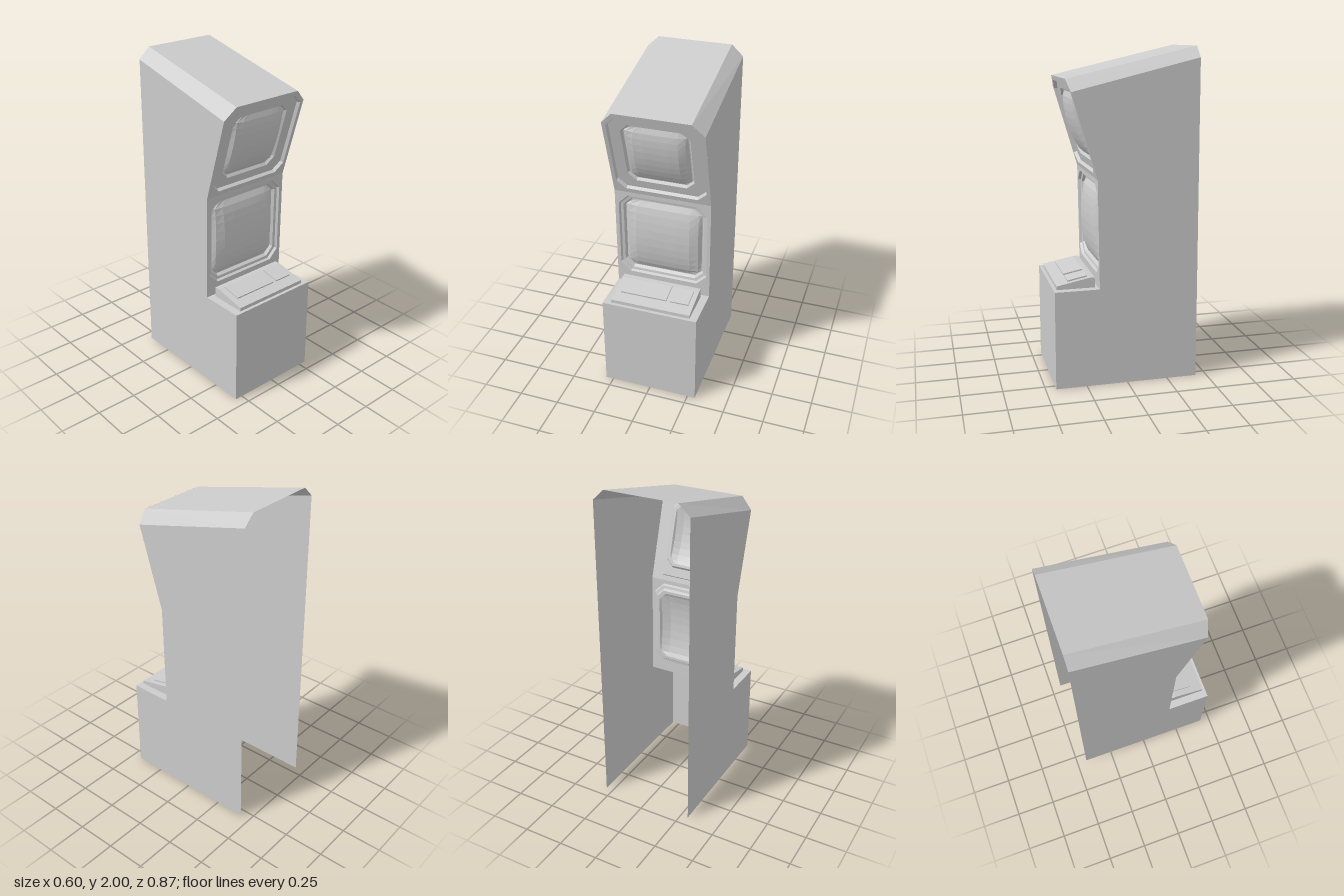
import * as THREE from 'three';

const material = new THREE.MeshStandardMaterial({ color: 0xcccccc, flatShading: true, side: THREE.DoubleSide });

function add(parent, name, geometry) {
  const mesh = new THREE.Mesh(geometry, material);
  mesh.name = name;
  parent.add(mesh);
  return mesh;
}

// Surface through cross-sections that share one point count
function loft(sections, closed) {
  const n = sections[0].length, index = [];
  for (let i = 0; i < sections.length - 1; i++) {
    for (let j = 0; j < (closed ? n : n - 1); j++) {
      const a = i * n + j, b = i * n + (j + 1) % n;
      index.push(a, b, b + n, a, b + n, a + n);
    }
  }
  const geometry = new THREE.BufferGeometry();
  geometry.setAttribute('position', new THREE.Float32BufferAttribute(sections.flat(2), 3));
  geometry.setIndex(index);
  geometry.computeVertexNormals();
  return geometry;
}

// Rectangle with cut corners, counter-clockwise
function octagon(w, lo, hi, cut) {
  return [
    [w - cut, lo], [w, lo + cut], [w, hi - cut], [w - cut, hi],
    [cut - w, hi], [-w, hi - cut], [-w, lo + cut], [cut - w, lo],
  ];
}

const toShape = (points) => new THREE.Shape(points.map(([x, y]) => new THREE.Vector2(x, y)));

// Domed screen with a chamfered outline: rings shrink towards a grid-like crown
function screenGeometry(w, lo, hi, cut, rim, bulge) {
  const mid = (lo + hi) / 2, h = (hi - lo) / 2, rows = 10, cols = 8, sections = [];
  for (let r = 0; r <= rows; r++) {
    const v = -Math.cos(Math.PI * r / rows) * 0.35 + (2 * r / rows - 1) * 0.65;
    // the outline narrows within the corner cuts
    const inset = Math.max(0, Math.abs(v) * h - (h - cut));
    const halfWidth = w - cut + Math.sqrt(Math.max(0, cut * cut - inset * inset));
    const row = [];
    for (let c = 0; c <= cols; c++) {
      const u = Math.sin((c / cols - 0.5) * Math.PI);
      const z = rim + bulge * (1 - v * v) ** 0.7 * (1 - u ** 6) ** 0.7;
      row.push([u * halfWidth, mid + v * h, z]);
    }
    sections.push(row);
  }
  return loft(sections, false);
}

// Front panel with a stepped octagonal recess and a screen
function displayPanel(name, outline, rings, screen) {
  const group = new THREE.Group();
  group.name = name;
  const face = toShape(outline);
  const [w, lo, hi, cut] = rings[0];
  face.holes.push(new THREE.Path(toShape(octagon(w, lo, hi, cut)).getPoints().reverse()));
  add(group, name + 'Face', new THREE.ShapeGeometry(face));
  const loops = rings.map(([rw, rl, rh, rc, z]) => octagon(rw, rl, rh, rc).map(([x, y]) => [x, y, z]));
  add(group, name + 'Bezel', loft(loops, true));
  add(group, name + 'Screen', screenGeometry(...screen));
  return group;
}

export function createModel() {
  const model = new THREE.Group();
  model.name = 'arcadeCabinet';
  const W = 0.298, T = 0.228;

  // Side panels, outlined as [z, y]
  const profile = [
    [-0.435, 0], [0.438, 0], [0.438, 0.6], [0.17, 0.6], [0.18, 1.25], [0.329, 1.75], [-0.425, 1.935],
  ];
  for (const side of [-1, 1]) {
    const panel = add(model, side < 0 ? 'rightSide' : 'leftSide',
      new THREE.ShapeGeometry(toShape(profile)).rotateY(-Math.PI / 2));
    panel.position.x = side * W;
  }

  // Sloped roof with chamfered edges
  const roofLine = (sideZ, sideY, topZ, topY) => [
    [-W, sideY, sideZ], [-T, topY, topZ], [T, topY, topZ], [W, sideY, sideZ],
  ];
  add(model, 'roof', loft([roofLine(0.329, 1.75, 0.35, 1.82), roofLine(-0.425, 1.935, -0.425, 2)], false));

  // Base front and shelf
  const across = (y, z) => [[-W, y, z], [W, y, z]];
  add(model, 'baseFrontAndShelf', loft([across(0, 0.438), across(0.6, 0.438), across(0.6, 0.17)], false));

  // Lower display
  const lower = displayPanel('lowerDisplay',
    [[-W, 0], [W, 0], [W, 0.65], [-W, 0.65]],
    [
      [0.275, 0.08, 0.625, 0.06, 0], [0.268, 0.087, 0.618, 0.058, -0.015],
      [0.252, 0.103, 0.602, 0.052, -0.018], [0.242, 0.115, 0.592, 0.045, -0.035],
      [0.225, 0.132, 0.575, 0.045, -0.035],
    ],
    [0.238, 0.12, 0.588, 0.045, -0.033, 0.046]);
  lower.position.set(0, 0.6, 0.17);
  lower.rotation.x = Math.atan2(0.01, 0.65);
  model.add(lower);

  // Upper display, leaning forward
  const upper = displayPanel('upperDisplay',
    [[-W, 0], [W, 0], [W, 0.522], [T, 0.595], [-T, 0.595], [-W, 0.522]],
    [
      [0.275, 0.031, 0.564, 0.055, 0], [0.268, 0.038, 0.557, 0.052, -0.02],
      [0.203, 0.092, 0.512, 0.05, -0.02], [0.192, 0.104, 0.5, 0.042, -0.035],
      [0.175, 0.12, 0.484, 0.04, -0.035],
    ],
    [0.187, 0.11, 0.495, 0.04, -0.033, 0.043]);
  upper.position.set(0, 1.25, 0.18);
  upper.rotation.x = Math.atan2(0.17, 0.57);
  model.add(upper);

  // Control desk wedge, extruded from its [z, y] profile
  const desk = toShape([[0.19, 0.6], [0.418, 0.6], [0.418, 0.622], [0.225, 0.661], [0.19, 0.661]]);
  add(model, 'controlDesk', new THREE.ExtrudeGeometry(desk, { depth: 0.5, bevelEnabled: false })
    .rotateY(-Math.PI / 2).translate(0.25, 0, 0));

  // Raised pads on the desk
  for (const [name, x0, x1] of [['widePad', -0.21, 0.08], ['smallPad', 0.105, 0.22]]) {
    const pad = add(model, name, new THREE.BoxGeometry(x1 - x0, 0.012, 0.12));
    pad.position.set((x0 + x1) / 2, 0.651, 0.289);
    pad.rotation.x = Math.atan2(0.039, 0.193);
  }

  return model;
}
